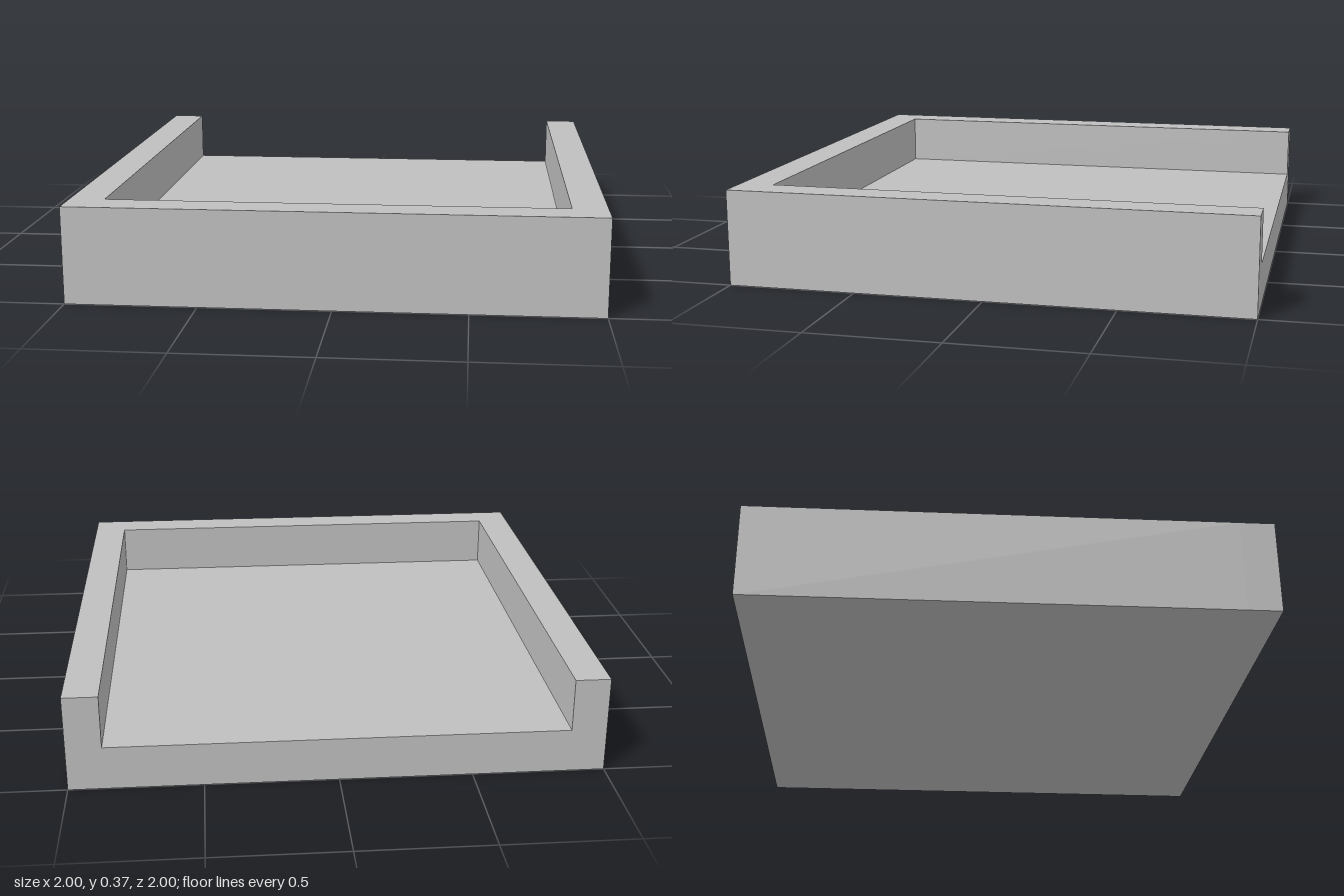
import * as THREE from 'three';

const HEIGHT = 0.372, FLOOR = 0.168, WALL = 0.133;

export function createModel() {
  const group = new THREE.Group();
  group.name = 'openTray';
  const grey = new THREE.MeshStandardMaterial({ color: 0xbfbfbf });
  grey.name = 'plain grey';

  // Floor and both side walls: one channel section running back to front
  const inner = 1 - WALL;
  const section = new THREE.Shape([
    [-1, 0], [1, 0], [1, HEIGHT], [inner, HEIGHT],
    [inner, FLOOR], [-inner, FLOOR], [-inner, HEIGHT], [-1, HEIGHT],
  ].map(([x, y]) => new THREE.Vector2(x, y)));
  const channel = new THREE.Mesh(
    new THREE.ExtrudeGeometry(section, { depth: 2 - WALL, bevelEnabled: false }), grey);
  channel.name = 'floorAndSideWalls';
  channel.position.z = -1;
  group.add(channel);

  // Front wall closing the channel; the back stays open
  const front = new THREE.Mesh(new THREE.BoxGeometry(2, HEIGHT, WALL), grey);
  front.name = 'frontWall';
  front.position.set(0, HEIGHT / 2, 1 - WALL / 2);
  group.add(front);

  return group;
}
